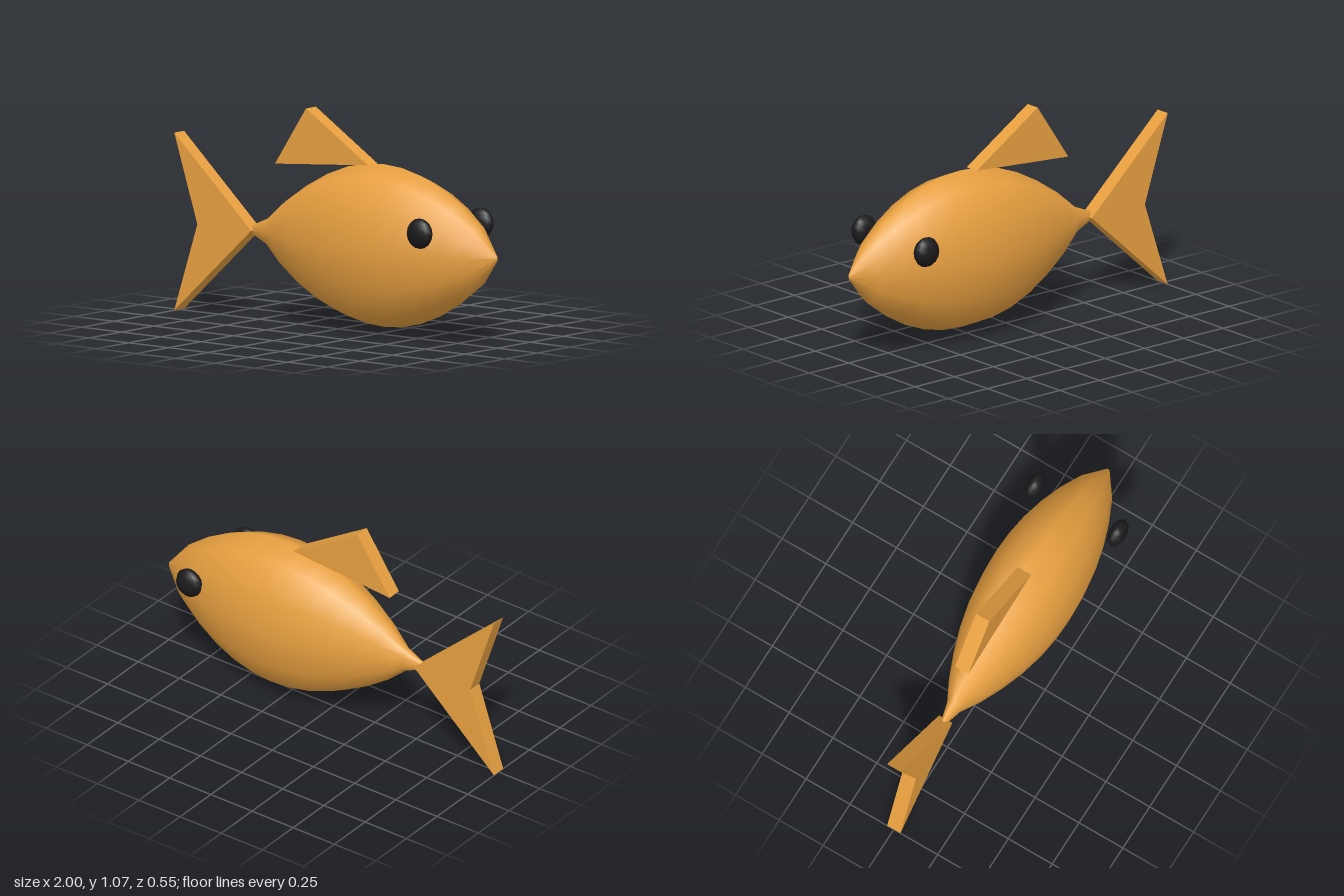
import * as THREE from 'three';

const MID = 0.44; // height of the body axis
const THICK = 0.076; // fin thickness

export function createModel() {
  const fish = new THREE.Group();
  fish.name = 'fish';
  const orange = new THREE.MeshStandardMaterial({ color: 0xe8a040 });
  const black = new THREE.MeshStandardMaterial({ color: 0x1a1a1c });

  const add = (name, geometry, material) => {
    const mesh = new THREE.Mesh(geometry, material);
    mesh.name = name;
    fish.add(mesh);
    return mesh;
  };

  // Body: twelve-sided spindle turned along x, flattened sideways; [x, radius]
  const profile = [
    [-0.545, 0], [-0.54, 0.022], [-0.44, 0.065], [-0.33, 0.16], [-0.2, 0.248],
    [-0.07, 0.318], [0.06, 0.368], [0.18, 0.393], [0.29, 0.4], [0.4, 0.392],
    [0.52, 0.364], [0.64, 0.316], [0.76, 0.248], [0.88, 0.157], [0.994, 0.016], [1, 0],
  ].map(([x, r]) => new THREE.Vector2(r, x));
  const body = new THREE.LatheGeometry(profile, 12);
  body.rotateZ(-Math.PI / 2).scale(1, 1, 0.6).translate(0, MID, 0);
  add('body', body, orange);

  // Fins: flat outlines with a constant thickness
  const fin = (name, points) => {
    const shape = new THREE.Shape(points.map(([x, y]) => new THREE.Vector2(x, y)));
    const geometry = new THREE.ExtrudeGeometry(shape, { depth: THICK, bevelEnabled: false });
    add(name, geometry.translate(0, 0, -THICK / 2), orange);
  };
  fin('tailFin', [[-0.517, MID], [-1, 0.877], [-0.855, MID], [-1, 0.003]]);
  fin('dorsalFin', [[0.216, 0.832], [-0.172, 1.075], [-0.367, 0.785]]);

  // Eyes: flattened low-poly spheres on both sides
  for (const side of [1, -1]) {
    const eye = add(side > 0 ? 'rightEye' : 'leftEye', new THREE.SphereGeometry(0.075, 10, 8), black);
    eye.scale.z = 0.57;
    eye.position.set(0.703, 0.565, side * 0.235);
  }
  return fish;
}
